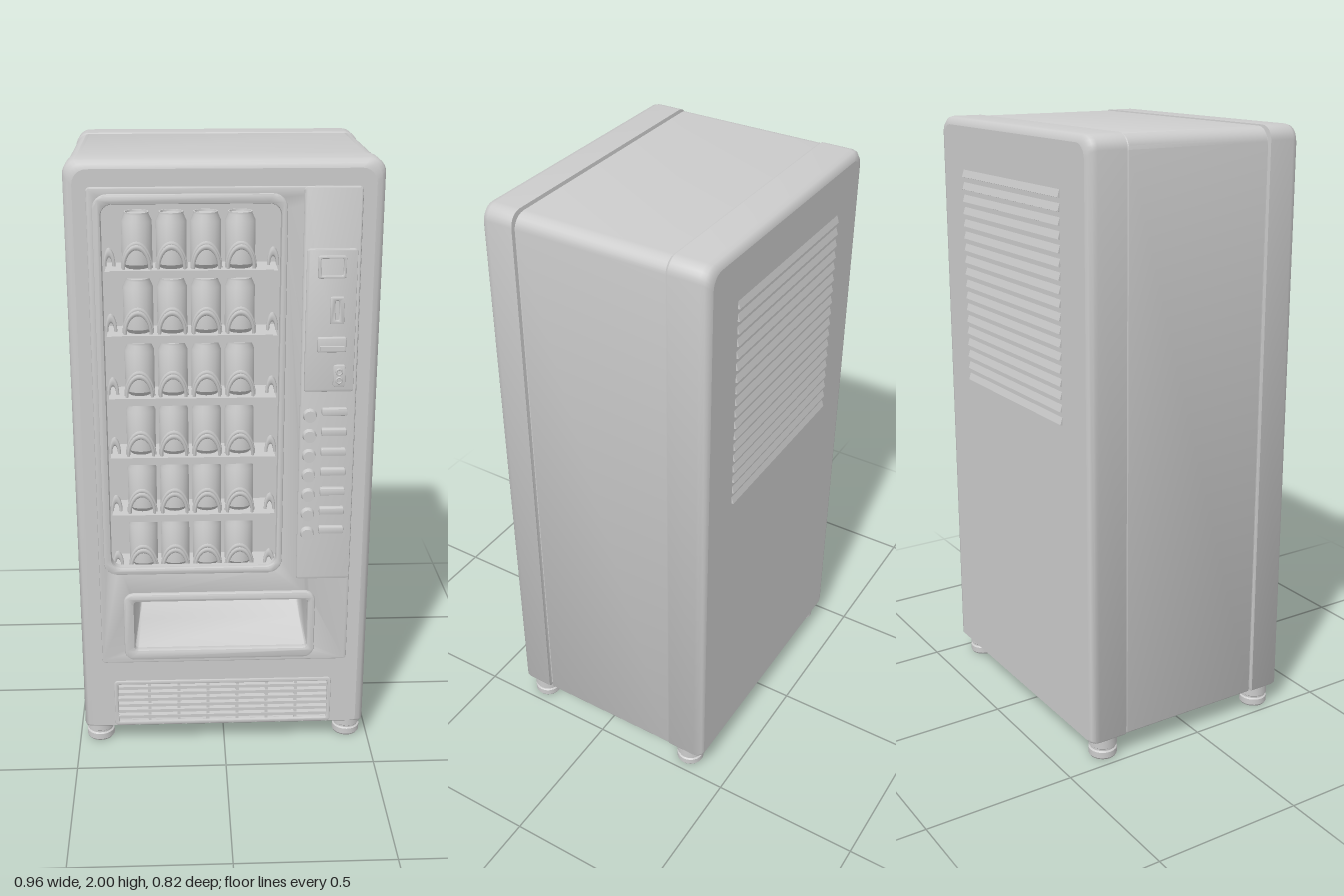
import * as THREE from 'three';
import { toCreasedNormals, mergeGeometries } from 'three/addons/utils/BufferGeometryUtils.js';

const material = new THREE.MeshStandardMaterial({ color: 0xcccccc });

// Rounded rectangle, counter-clockwise, with separate top and bottom radii
function outline(x0, x1, y0, y1, rTop = 0.03, rBottom = rTop) {
  const points = [];
  const corners = [
    [x1 - rBottom, y0 + rBottom, rBottom, -0.5], [x1 - rTop, y1 - rTop, rTop, 0],
    [x0 + rTop, y1 - rTop, rTop, 0.5], [x0 + rBottom, y0 + rBottom, rBottom, 1],
  ];
  for (const [cx, cy, r, start] of corners) {
    for (let i = 0; i <= 6; i++) {
      const a = (start + i / 12) * Math.PI;
      points.push(new THREE.Vector2(cx + r * Math.cos(a), cy + r * Math.sin(a)));
    }
  }
  return points;
}

// Skin between matching outlines; rings running backwards give an inward-facing skin
function loft(rings) {
  const positions = [], index = [], n = rings[0].points.length;
  for (const { points, z } of rings) for (const p of points) positions.push(p.x, p.y, z);
  for (let k = 0; k < rings.length - 1; k++) {
    for (let i = 0; i < n; i++) {
      const a = k * n + i, b = k * n + (i + 1) % n;
      index.push(a, b, b + n, a, b + n, a + n);
    }
  }
  const g = new THREE.BufferGeometry();
  g.setAttribute('position', new THREE.Float32BufferAttribute(positions, 3));
  g.setIndex(index);
  return toCreasedNormals(g, 0.7);
}

function face(points, z, holes = []) {
  const shape = new THREE.Shape(points);
  holes.forEach((h) => shape.holes.push(new THREE.Path(h)));
  return new THREE.ShapeGeometry(shape).translate(0, 0, z);
}

// Bevelled plate from z0 to z1, optionally pierced
function plate(points, z0, z1, holes = [], bevel = 0.004) {
  const shape = new THREE.Shape(points);
  holes.forEach((h) => shape.holes.push(new THREE.Path(h)));
  const g = new THREE.ExtrudeGeometry(shape, {
    depth: z1 - z0 - bevel, bevelThickness: bevel, bevelSize: bevel, bevelOffset: -bevel, bevelSegments: 2,
  });
  return toCreasedNormals(g.translate(0, 0, z0), 0.6);
}

const box = (w, h, d, x, y, z) => new THREE.BoxGeometry(w, h, d).translate(x, y, z);

export function createModel() {
  const model = new THREE.Group();
  const add = (name, geometry, parent = model) => {
    const mesh = new THREE.Mesh(geometry, material);
    mesh.name = name;
    parent.add(mesh);
    return mesh;
  };
  const group = (name) => {
    const g = new THREE.Group();
    g.name = name;
    model.add(g);
    return g;
  };

  // Cabinet outline, inset on all sides
  const cabinet = (d) => outline(-0.48 + d, 0.48 - d, 0.07 + d * 0.3, 2 - d, 0.045, 0.008);
  const ring = (d, z) => ({ points: cabinet(d), z });
  const windowHole = outline(-0.37, 0.168, 0.68, 1.87, 0.035);
  const binHole = outline(-0.3, 0.275, 0.38, 0.56, 0.012);
  const grilleHole = outline(-0.368, 0.357, 0.088, 0.245, 0.008);

  // Cabinet: rear cover, body and door shell with narrow seams between them
  add('rearCover', loft([ring(0.025, -0.405), ring(0.012, -0.401), ring(0.003, -0.39), ring(0, -0.375),
    ring(0, -0.275), ring(0.006, -0.272)]));
  add('backPanel', face(cabinet(0.025), 0.405).rotateY(Math.PI));
  add('cabinetBody', loft([ring(0.006, -0.272), ring(0.003, -0.268), ring(0.003, 0.235), ring(0.012, 0.236),
    ring(0.012, 0.246)]));
  add('doorShell', loft([ring(0.012, 0.246), ring(0, 0.248), ring(0, 0.335), ring(0.004, 0.35),
    ring(0.014, 0.36), ring(0.028, 0.364)]));
  add('doorFront', face(cabinet(0.028), 0.364, [windowHole, binHole, grilleHole]));

  // Raised door panel and frames
  add('doorPanel', plate(outline(-0.412, 0.412, 0.325, 1.92, 0.012), 0.362, 0.37, [
    outline(-0.38, 0.176, 0.67, 1.88, 0.04), outline(-0.31, 0.285, 0.37, 0.57, 0.02)]));
  add('windowFrame', plate(outline(-0.395, 0.187, 0.657, 1.9, 0.045), 0.362, 0.378, [windowHole], 0.006));
  add('binFrame', plate(outline(-0.335, 0.3, 0.343, 0.588, 0.035), 0.362, 0.386, [binHole], 0.007));

  // Display compartment behind the window
  const inside = outline(-0.4, 0.198, 0.63, 1.9, 0.035);
  add('displayLining', loft([{ points: windowHole, z: 0.364 }, { points: windowHole, z: 0.345 },
    { points: inside, z: 0.345 }, { points: inside, z: 0.19 }]));
  add('displayBack', face(inside, 0.19));

  // Delivery bin with a sloping floor
  const binBack = outline(-0.285, 0.26, 0.46, 0.555, 0.01);
  add('binLining', loft([{ points: binHole, z: 0.364 },
    { points: outline(-0.29, 0.265, 0.425, 0.557, 0.01), z: 0.25 }, { points: binBack, z: 0.18 }]));
  add('binBack', face(binBack, 0.18));

  // Shelves, cans and coils
  const shelves = group('shelves'), cans = group('cans'), coils = group('coils');
  const canProfile = [[0, 0], [0.036, 0], [0.047, 0.014], [0.047, 0.145], [0.038, 0.165], [0.038, 0.172],
    [0.034, 0.172], [0.033, 0.166], [0, 0.166]].map(([x, y]) => new THREE.Vector2(x, y));
  const can = toCreasedNormals(new THREE.LatheGeometry(canProfile, 20), 0.6);
  const coil = mergeGeometries([0.308, 0.325].map((z, i) =>
    new THREE.TorusGeometry(0.044 - i * 0.004, 0.005, 6, 16, Math.PI)
      .scale(1, 1.7, 1).rotateX(0.1).translate(0, 0.015, z)));
  for (const y of [1.65, 1.445, 1.24, 1.04, 0.84, 0.64]) {
    add('shelf', box(0.53, 0.012, 0.13, -0.1, y, 0.255), shelves);
    add('shelfLip', box(0.5, 0.024, 0.012, -0.1, y, 0.328), shelves);
    for (const x of [-0.35, 0.148]) {
      add('shelfBracket', new THREE.TorusGeometry(0.014, 0.005, 6, 12, Math.PI)
        .scale(1, 3, 1).translate(x, y + 0.025, 0.325), shelves);
    }
    for (let i = 0; i < 4; i++) {
      const x = -0.267 + i * 0.106;
      add('can', can, cans).position.set(x, y + 0.006, 0.252);
      add('coil', coil, coils).position.set(x, y, 0);
    }
  }

  // Control column with payment panel
  const controls = group('controls');
  add('controlColumn', plate(outline(0.235, 0.41, 0.632, 1.92, 0.01), 0.366, 0.376), controls);
  add('paymentPanel', plate(outline(0.246, 0.4, 1.283, 1.735, 0.01), 0.372, 0.382), controls);
  add('displayFrame', plate(outline(0.28, 0.366, 1.645, 1.715, 0.008), 0.378, 0.39,
    [outline(0.289, 0.357, 1.654, 1.706, 0.005)], 0.003), controls);
  add('coinSlotFrame', plate(outline(0.32, 0.364, 1.503, 1.588, 0.006), 0.378, 0.388,
    [outline(0.336, 0.348, 1.515, 1.576, 0.004)], 0.003), controls);
  add('noteSlot', plate(outline(0.283, 0.372, 1.415, 1.462, 0.006), 0.378, 0.395), controls);
  add('noteSlotLip', box(0.075, 0.012, 0.02, 0.328, 1.43, 0.396), controls);
  add('lockPlate', plate(outline(0.335, 0.374, 1.3, 1.372, 0.008), 0.378, 0.387), controls);
  for (const y of [1.322, 1.35]) {
    add('lockRing', new THREE.TorusGeometry(0.009, 0.003, 6, 14).translate(0.354, y, 0.388), controls);
  }

  // Selection buttons with labels
  const button = new THREE.CylinderGeometry(0.019, 0.023, 0.022, 18).rotateX(Math.PI / 2);
  for (let i = 0; i < 7; i++) {
    const y = 1.205 - i * 0.0675;
    add('button', button, controls).position.set(0.267, y, 0.384);
    add('buttonLabel', plate(outline(0.304, 0.384, y + 0.002, y + 0.026, 0.005), 0.372, 0.394), controls);
  }

  // Lower ventilation grille
  const grille = group('grille');
  add('grilleLining', loft([{ points: grilleHole, z: 0.364 }, { points: grilleHole, z: 0.335 }]), grille);
  add('grilleBack', face(grilleHole, 0.335), grille);
  add('grilleFrame', plate(outline(-0.375, 0.364, 0.081, 0.252, 0.012), 0.36, 0.37,
    [outline(-0.362, 0.351, 0.094, 0.239, 0.006)], 0.003), grille);
  for (let i = 0; i < 6; i++) {
    add('grilleSlat', box(0.72, 0.011, 0.024, -0.006, 0.11 + i * 0.0225, 0.354), grille);
  }
  for (let i = 0; i < 6; i++) {
    add('grilleDivider', box(0.01, 0.15, 0.02, -0.256 + i * 0.1, 0.167, 0.352), grille);
  }

  // Rear louvres
  const louvres = group('rearLouvres');
  for (let i = 0; i < 18; i++) {
    const slat = add('louvre', box(0.63, 0.026, 0.007, 0, 0, 0), louvres);
    slat.position.set(0, 1.125 + i * 0.041, -0.405);
    slat.rotation.x = 0.3;
  }

  // Hollow feet
  const footProfile = [[0.025, 0.03], [0.025, 0], [0.043, 0], [0.047, 0.006], [0.047, 0.026], [0.042, 0.03],
    [0.042, 0.036], [0.047, 0.04], [0.047, 0.075]].map(([x, y]) => new THREE.Vector2(x, y));
  const foot = mergeGeometries([
    toCreasedNormals(new THREE.LatheGeometry(footProfile, 24), 0.5),
    new THREE.CircleGeometry(0.025, 24).rotateX(Math.PI / 2).translate(0, 0.03, 0).toNonIndexed(),
  ]);
  for (const x of [-0.43, 0.43]) {
    for (const z of [0.293, -0.335]) add('foot', foot).position.set(x, 0, z);
  }

  // Underside
  add('underside', box(0.93, 0.01, 0.74, 0, 0.078, -0.02));
  return model;
}
